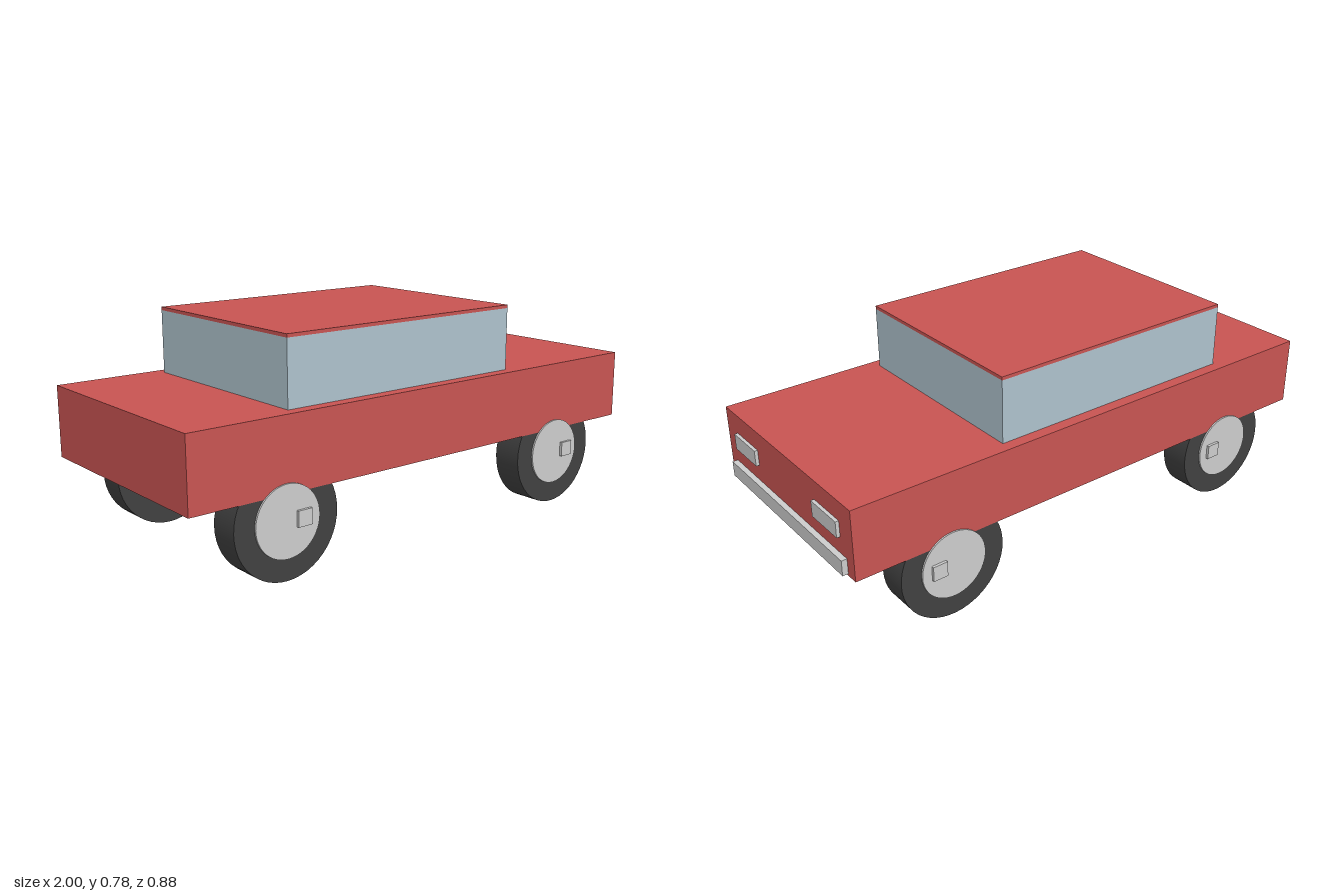
import * as THREE from 'three';

const paint = (name, color) => {
  const m = new THREE.MeshStandardMaterial({ color });
  m.name = name;
  return m;
};

export function createModel() {
  const car = new THREE.Group();
  car.name = 'car';
  const red = paint('red paint', 0xc85452);
  const glass = paint('pale blue glass', 0xaec2cc);
  const silver = paint('silver', 0xcccccc);
  const rubber = paint('dark rubber', 0x404040);

  // Box given by its lower and upper corners
  const box = (name, material, [x0, y0, z0], [x1, y1, z1], parent = car) => {
    const mesh = new THREE.Mesh(new THREE.BoxGeometry(x1 - x0, y1 - y0, z1 - z0), material);
    mesh.position.set((x0 + x1) / 2, (y0 + y1) / 2, (z0 + z1) / 2);
    mesh.name = name;
    parent.add(mesh);
  };

  // Disc with its axis along z, spanning z0 to z1
  const disc = (name, material, radius, z0, z1, parent) => {
    const geometry = new THREE.CylinderGeometry(radius, radius, z1 - z0, 48).rotateX(Math.PI / 2);
    const mesh = new THREE.Mesh(geometry, material);
    mesh.position.z = (z0 + z1) / 2;
    mesh.name = name;
    parent.add(mesh);
  };

  // Body, cabin and roof
  box('body', red, [-1, 0.288, -0.423], [0.98, 0.544, 0.423]);
  box('cabin', glass, [-0.605, 0.544, -0.38], [0.385, 0.772, 0.38]);
  box('roof', red, [-0.605, 0.772, -0.38], [0.385, 0.784, 0.38]);

  // Bumper and headlights at the +x end
  box('bumper', silver, [0.975, 0.295, -0.38], [1, 0.351, 0.38]);
  for (const side of [-1, 1]) {
    const z = side * 0.2715;
    box('headlight', silver, [0.975, 0.414, z - 0.0765], [0.992, 0.472, z + 0.0765]);
  }

  // Wheels: tyre, hub and a small square cap set off centre
  for (const x of [-0.645, 0.622]) {
    for (const side of [-1, 1]) {
      const wheel = new THREE.Group();
      wheel.name = 'wheel';
      wheel.position.set(x, 0.2, 0);
      const span = (a, b) => (side > 0 ? [a, b] : [-b, -a]);
      disc('tyre', rubber, 0.2, ...span(0.313, 0.4225), wheel);
      disc('hub', silver, 0.124, ...span(0.4, 0.429), wheel);
      const [z0, z1] = span(0.41, 0.439);
      box('hubCap', silver, [0.033, -0.025, z0], [0.088, 0.03, z1], wheel);
      car.add(wheel);
    }
  }
  return car;
}
